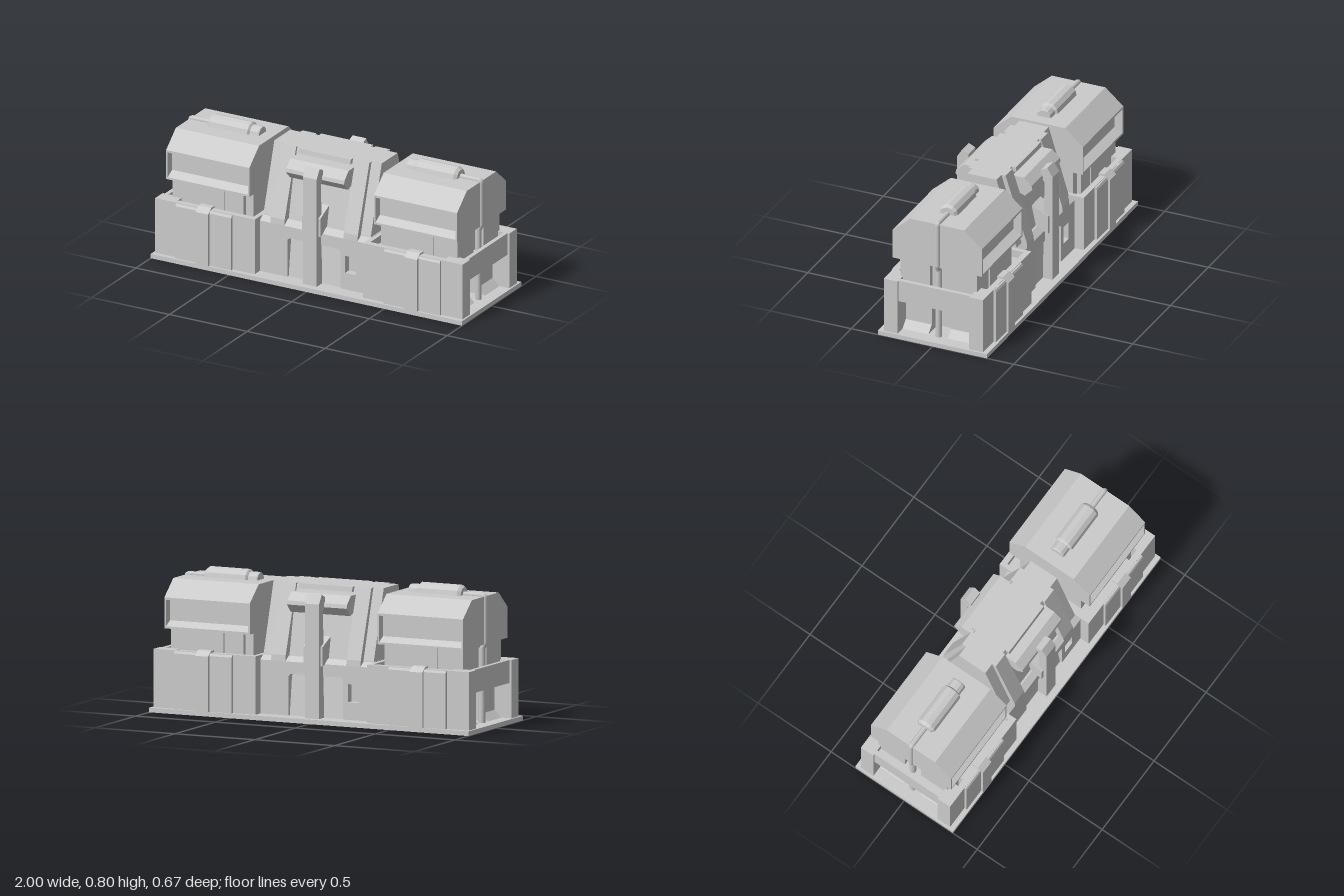
import * as THREE from 'three';

const mat = new THREE.MeshStandardMaterial({ color: 0xcccccc, flatShading: true });
const smooth = new THREE.MeshStandardMaterial({ color: 0xcccccc });

function add(group, name, geometry, material = mat) {
  const mesh = new THREE.Mesh(geometry, material);
  mesh.name = name;
  group.add(mesh);
  return mesh;
}

// Box given by its limits on each axis
function box(group, name, x0, x1, y0, y1, z0, z1) {
  const g = new THREE.BoxGeometry(x1 - x0, y1 - y0, z1 - z0);
  g.translate((x0 + x1) / 2, (y0 + y1) / 2, (z0 + z1) / 2);
  return add(group, name, g);
}

// The same box on both sides of z = 0
function boxZ(group, name, x0, x1, y0, y1, z0, z1) {
  box(group, name, x0, x1, y0, y1, z0, z1);
  box(group, name, x0, x1, y0, y1, -z1, -z0);
}

const toShape = (pts) => new THREE.Shape(pts.map((p) => new THREE.Vector2(...p)));

// Cross-section of [z, y] points, extruded from x0 to x1
function prism(group, name, pts, x0, x1) {
  const shape = toShape(pts.map(([z, y]) => [-z, y]));
  const g = new THREE.ExtrudeGeometry(shape, { depth: x1 - x0, bevelEnabled: false });
  g.rotateY(Math.PI / 2).translate(x0, 0, 0);
  return add(group, name, g);
}

// Mirror half a [z, y] outline (bottom to top) across z = 0
const flipZ = (pts, s) => pts.map(([z, y]) => [z * s, y]);
const symmetric = (half) => [...half, ...flipZ(half, -1).reverse()];

// Straight pipe run through [x, y] points at z = 0
function pipe(group, pts, radius) {
  const path = new THREE.CurvePath();
  const v = pts.map(([x, y]) => new THREE.Vector3(x, y, 0));
  for (let i = 1; i < v.length; i++) path.add(new THREE.LineCurve3(v[i - 1], v[i]));
  add(group, 'pipe', new THREE.TubeGeometry(path, 60, radius, 10), smooth);
}

// Base plate with a shallow ribbed underside
function makeBase() {
  const g = new THREE.Group();
  g.name = 'base';
  box(g, 'basePlate', -0.99, 0.99, 0.005, 0.026, -0.325, 0.325);
  boxZ(g, 'baseRim', -1, 1, 0, 0.026, 0.325, 0.335);
  boxZ(g, 'basePad', -0.05, 0.05, 0.001, 0.008, 0.22, 0.27);
  boxZ(g, 'baseRibLong', -0.45, 0.45, 0.001, 0.008, 0.276, 0.284);
  for (const s of [-1, 1]) {
    box(g, 'baseRimEnd', s * 0.995 - 0.005, s * 0.995 + 0.005, 0, 0.026, -0.325, 0.325);
    box(g, 'baseRib', s * 0.35 - 0.005, s * 0.35 + 0.005, 0.001, 0.008, -0.28, 0.28);
  }
  return g;
}

// One end: hollow pedestal, neck, faceted head, tank and pipe
function makeEnd() {
  const g = new THREE.Group();
  g.name = 'endUnit';

  // Pedestal with a sunken deck and an open bay at the end
  box(g, 'pedestalCore', 0.36, 0.8, 0.025, 0.31, -0.27, 0.27);
  boxZ(g, 'bayBlock', 0.8, 0.88, 0.025, 0.31, 0.06, 0.23);
  box(g, 'bayRoof', 0.8, 0.955, 0.225, 0.31, -0.22, 0.22);
  box(g, 'endBeam', 0.95, 0.975, 0.225, 0.355, -0.22, 0.22);
  box(g, 'innerWall', 0.348, 0.375, 0.025, 0.355, -0.305, 0.305);
  boxZ(g, 'sideWall', 0.37, 0.97, 0.025, 0.355, 0.27, 0.305);
  boxZ(g, 'cornerColumn', 0.86, 0.988, 0.025, 0.355, 0.22, 0.305);

  // Wedges on the bay floor
  for (const z of [0.06, -0.22]) {
    const w = new THREE.ExtrudeGeometry(toShape([[0.88, 0.025], [0.925, 0.025], [0.88, 0.067]]), { depth: 0.16, bevelEnabled: false });
    add(g, 'bayWedge', w.translate(0, 0, z));
  }

  // Side panels and the straps hooked over the walls
  for (const s of [-1, 1]) {
    prism(g, 'sidePanel', flipZ([[0.3, 0.025], [0.321, 0.025], [0.321, 0.34], [0.314, 0.352], [0.3, 0.352]], s), 0.49, 0.85);
    prism(g, 'sideStrap', flipZ([[0.3, 0.025], [0.335, 0.025], [0.335, 0.338], [0.3, 0.366],
      [0.265, 0.366], [0.265, 0.35], [0.3, 0.35]], s), 0.63, 0.712);
  }

  // Neck
  box(g, 'neck', 0.46, 0.88, 0.3, 0.475, -0.235, 0.235);
  box(g, 'neckInner', 0.41, 0.46, 0.3, 0.475, -0.21, 0.21);
  boxZ(g, 'neckEnd', 0.88, 0.915, 0.3, 0.475, 0.055, 0.235);
  boxZ(g, 'neckPanel', 0.58, 0.76, 0.3, 0.475, 0.235, 0.242);

  // Head: full section at both ends, notched section between
  const full = symmetric([[0.275, 0.47], [0.275, 0.645], [0.165, 0.74]]);
  const notched = symmetric([[0.275, 0.47], [0.275, 0.482], [0.225, 0.51], [0.225, 0.632],
    [0.275, 0.632], [0.275, 0.645], [0.165, 0.74]]);
  prism(g, 'headEnd', full, 0.4, 0.41);
  prism(g, 'headBody', notched, 0.41, 0.925);
  prism(g, 'headEnd', full, 0.925, 0.935);

  // Tank lying on the head
  const tank = new THREE.LatheGeometry([[0, 0.472], [0.042, 0.472], [0.045, 0.48], [0.045, 0.53],
    [0.058, 0.54], [0.058, 0.785], [0.045, 0.803], [0, 0.803]].map((p) => new THREE.Vector2(...p)), 12);
  add(g, 'tank', tank.rotateZ(-Math.PI / 2).translate(0, 0.738, 0));

  // Pipe from the tank over the end and down into the bay
  pipe(g, [[0.79, 0.743], [0.925, 0.743], [0.932, 0.736], [0.932, 0.475], [0.915, 0.44]], 0.016);
  pipe(g, [[0.915, 0.45], [0.915, 0.025]], 0.019);
  return g;
}

// One long face of the middle section
function makeMiddleFace() {
  const g = new THREE.Group();
  g.name = 'middleFace';

  // Lower wall with a wide niche and a small window
  const wall = toShape([[-0.35, 0.025], [-0.17, 0.025], [-0.17, 0.25], [-0.155, 0.262], [0.155, 0.262],
    [0.17, 0.25], [0.17, 0.025], [0.35, 0.025], [0.35, 0.33], [-0.35, 0.33]]);
  wall.holes.push(toShape([[0.2, 0.125], [0.27, 0.125], [0.27, 0.228], [0.2, 0.228]]));
  const wallGeo = new THREE.ExtrudeGeometry(wall, { depth: 0.045, bevelEnabled: false });
  add(g, 'lowerWall', wallGeo.translate(0, 0, 0.203));
  prism(g, 'nicheBack', [[0.15, 0.025], [0.235, 0.025], [0.205, 0.262], [0.15, 0.262]], -0.17, 0.17);
  prism(g, 'lowerLedge', [[0.1, 0.33], [0.248, 0.33], [0.21, 0.357], [0.1, 0.357]], -0.35, 0.35);

  // Sloping frames, each of two stepped ribs
  const inner = [[0, 0.33], [0.248, 0.33], [0.245, 0.365], [0.115, 0.758], [0, 0.758]];
  const outer = [[0, 0.33], [0.215, 0.33], [0.212, 0.36], [0.09, 0.758], [0, 0.758]];
  for (const s of [-1, 1]) {
    const ribs = [[inner, 0.19, 0.28], [outer, 0.28, 0.345]];
    for (const [pts, a, b] of ribs) prism(g, 'frameRib', pts, Math.min(s * a, s * b), Math.max(s * a, s * b));
  }

  // Recessed sloping panel and the hooded roller above it
  prism(g, 'innerPanel', [[0, 0.33], [0.205, 0.33], [0.145, 0.62], [0.1, 0.758], [0, 0.758]], -0.19, 0.19);
  prism(g, 'roller', [[0.11, 0.635], [0.19, 0.603], [0.237, 0.65], [0.232, 0.672], [0.185, 0.716], [0.11, 0.715]], -0.187, 0.187);
  prism(g, 'hingeStrip', [[0.09, 0.73], [0.13, 0.73], [0.126, 0.758], [0.09, 0.758]], -0.167, 0.167);

  // Upright clamp running from the base over the roller
  prism(g, 'clamp', [[0.235, 0.025], [0.295, 0.025], [0.295, 0.672], [0.262, 0.724], [0.222, 0.705],
    [0.222, 0.66], [0.245, 0.63]], -0.044, 0.044);
  prism(g, 'clampBracket', [[0.275, 0.32], [0.275, 0.43], [0.17, 0.48], [0.17, 0.36]], -0.062, 0.056);
  return g;
}

export function createModel() {
  const model = new THREE.Group();
  model.name = 'model';
  model.add(makeBase());
  box(model, 'middleCore', -0.36, 0.36, 0.025, 0.345, -0.205, 0.205);

  // Both ends and both faces repeat by a half turn
  for (const make of [makeEnd, makeMiddleFace]) {
    for (const turn of [0, Math.PI]) {
      const part = make();
      part.rotation.y = turn;
      model.add(part);
    }
  }
  return model;
}
